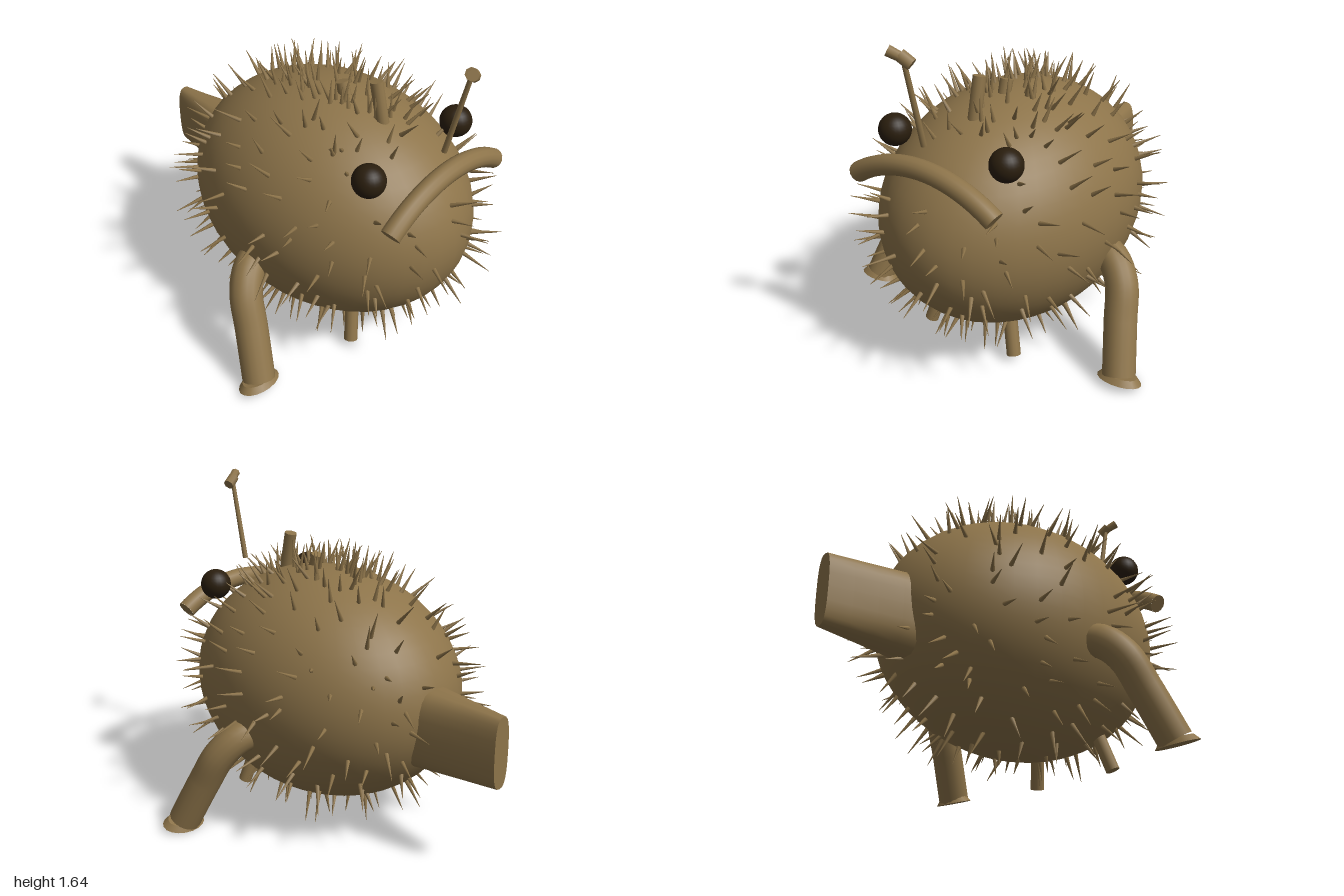
import * as THREE from 'three';
import { mergeGeometries } from 'three/addons/utils/BufferGeometryUtils.js';

const V = (x, y, z) => new THREE.Vector3(x, y, z);
const UP = V(0, 1, 0);

export function createModel() {
  const group = new THREE.Group();
  const skin = new THREE.MeshStandardMaterial({ color: 0x8d744a });
  skin.name = 'tan skin';
  const dark = new THREE.MeshStandardMaterial({ color: 0x2a1e0e });
  dark.name = 'dark eye';

  const add = (name, geometry, material = skin) => {
    const mesh = new THREE.Mesh(geometry, material);
    mesh.name = name;
    group.add(mesh);
    return mesh;
  };

  // Tapered rod between two points
  const rod = (a, b, ra, rb, sides = 12) => {
    const dir = b.clone().sub(a);
    const g = new THREE.CylinderGeometry(rb, ra, dir.length(), sides);
    g.applyQuaternion(new THREE.Quaternion().setFromUnitVectors(UP, dir.normalize()));
    const mid = a.clone().add(b).multiplyScalar(0.5);
    return g.translate(mid.x, mid.y, mid.z);
  };

  // Round body
  const centre = V(0, 0.66, 0.11), radii = V(0.58, 0.58, 0.76);
  const body = add('body', new THREE.SphereGeometry(1, 40, 28));
  body.scale.copy(radii);
  body.position.copy(centre);

  // Spines scattered over the body, thicker along the back
  let seed = 11;
  const rnd = () => {
    seed = (seed * 16807) % 2147483647;
    return seed / 2147483647;
  };
  const spines = [];
  const addSpine = (d) => {
    const base = d.clone().multiply(radii).add(centre);
    // Keep the lip and tail root clear
    if (base.z < -0.5 && Math.abs(base.x) < 0.1 && Math.abs(base.y - 0.6) < 0.18) return;
    if (base.z > 0.6 && Math.abs(base.x) < 0.4 && base.y > 0.92 && base.y < 1.1) return;
    const n = d.clone().divide(radii).normalize();
    n.add(V(rnd() - 0.5, rnd() - 0.5, rnd() - 0.5).multiplyScalar(0.6)).normalize();
    const tip = base.clone().addScaledVector(n, 0.09 + rnd() * 0.06);
    tip.z = Math.min(tip.z, 0.99);
    tip.y = Math.max(tip.y, 0.02);
    spines.push(rod(base.addScaledVector(n, -0.015), tip, 0.012, 0.001, 6));
  };
  const COUNT = 250;
  for (let i = 0; i < COUNT; i++) {
    const y = 1 - (2 * i + 1) / COUNT, r = Math.sqrt(1 - y * y);
    const a = i * 2.39996 + (rnd() - 0.5) * 0.35;
    addSpine(V(Math.cos(a) * r, y, Math.sin(a) * r));
  }
  for (let i = 0; i < 60; i++) {
    const t = 0.1 + rnd() * 0.55, a = rnd() * Math.PI * 2;
    addSpine(V(Math.sin(t) * Math.cos(a), Math.cos(t), Math.sin(t) * Math.sin(a)));
  }
  add('spines', mergeGeometries(spines));

  // Tail: a tall rounded loft that thins toward its end
  const tail = new THREE.CylinderGeometry(1, 1, 1, 24, 4).rotateX(-Math.PI / 2);
  const p = tail.attributes.position;
  const soft = (v) => Math.sign(v) * Math.pow(Math.abs(v), 0.7);
  for (let i = 0; i < p.count; i++) {
    const t = 0.5 - p.getZ(i);
    p.setXYZ(i,
      soft(p.getX(i)) * (0.14 - 0.092 * t),
      0.6 + soft(p.getY(i)) * (0.2 - 0.03 * t),
      -0.55 - 0.45 * t);
  }
  tail.computeVertexNormals();
  add('tail', tail);

  // Curved lip
  const half = Math.asin(0.38 / 0.66);
  const lip = new THREE.TorusGeometry(0.66, 0.047, 14, 28, half * 2).rotateZ(Math.PI / 2 - half);
  const lipMesh = add('lip', lip);
  lipMesh.position.set(0, 0.415, 0.78);
  for (const s of [-1, 1]) {
    const cap = add('lipEnd', new THREE.CircleGeometry(0.047, 14));
    cap.position.set(s * 0.38, 0.415 + 0.66 * Math.cos(half), 0.78);
    cap.lookAt(cap.position.clone().add(V(s * Math.cos(half), -Math.sin(half), 0)));
  }

  for (const s of [-1, 1]) {
    const side = s > 0 ? 'left' : 'right';
    // Eyes
    add(side + 'Eye', new THREE.SphereGeometry(0.076, 24, 16), dark)
      .position.set(s * 0.312, 1.115, 0.6);

    // Bent arm-like fins with flared feet
    const path = new THREE.CatmullRomCurve3([
      V(s * 0.46, 0.52, 0.08), V(s * 0.57, 0.49, 0.11), V(s * 0.645, 0.41, 0.16),
      V(s * 0.69, 0.26, 0.235), V(s * 0.75, 0.04, 0.335),
    ]);
    add(side + 'ArmFin', new THREE.TubeGeometry(path, 24, 0.079, 16));
    const foot = add(side + 'Foot', new THREE.CylinderGeometry(0.085, 0.11, 0.028, 18));
    foot.scale.z = 0.72;
    foot.rotation.set(-0.25, 0, s * 0.03);
    foot.position.set(s * 0.755, 0.035, 0.337);

    // Small belly pegs
    add(side + 'BellyFin', rod(V(s * 0.2, 0.24, 0.44), V(s * 0.258, 0.032, 0.488), 0.034, 0.034));
  }

  // Fishing lure on a thin rod
  add('lureRod', rod(V(0, 1.18, 0.755), V(0, 1.59, 0.845), 0.014, 0.011, 8));
  add('lureKnot', rod(V(-0.012, 1.605, 0.85), V(0.035, 1.57, 0.835), 0.028, 0.028, 8));
  add('lureTip', rod(V(0.01, 1.59, 0.845), V(-0.048, 1.625, 0.88), 0.02, 0.024, 8));

  // Blunt pegs along the back
  add('frontBackPeg', rod(V(0, 1.16, 0.42), V(0, 1.37, 0.37), 0.031, 0.031));
  add('rearBackPeg', rod(V(0, 1.2, 0.2), V(0, 1.29, 0.17), 0.031, 0.031));

  return group;
}
